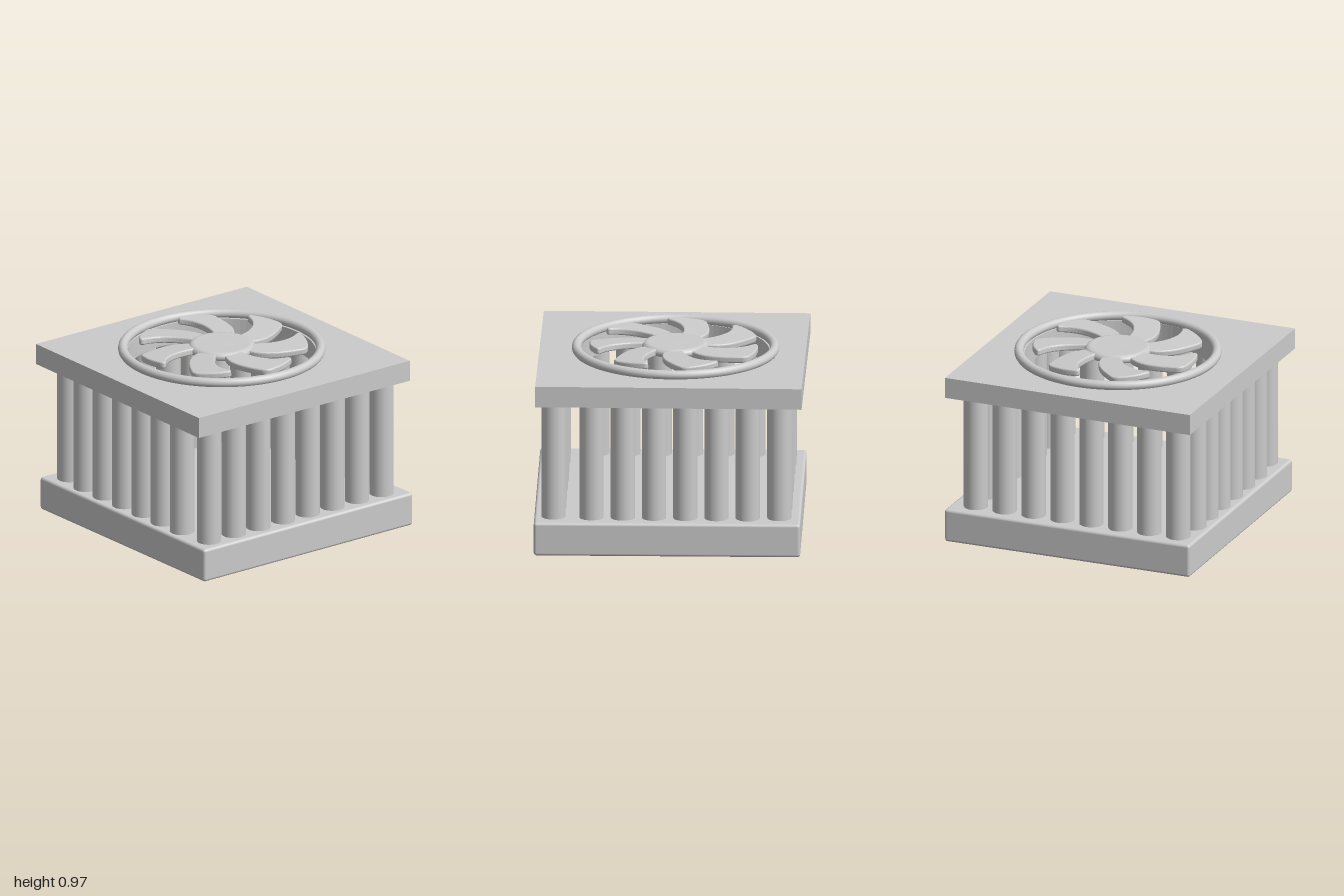
import * as THREE from 'three';
import { RoundedBoxGeometry } from 'three/addons/geometries/RoundedBoxGeometry.js';

const grey = new THREE.MeshStandardMaterial({ color: 0xcccccc });

function add(parent, geometry, name, x = 0, y = 0, z = 0) {
  const mesh = new THREE.Mesh(geometry, grey);
  mesh.name = name;
  mesh.position.set(x, y, z);
  parent.add(mesh);
  return mesh;
}

export function createModel() {
  const model = new THREE.Group();
  model.name = 'fanUnit';

  // Base slab with softened edges
  add(model, new RoundedBoxGeometry(1.396, 0.18, 1.4, 3, 0.015), 'base', 0.297, 0.09, 0.008);

  // Ring of columns around the perimeter, eight per side
  const columns = new THREE.Group();
  columns.name = 'columns';
  model.add(columns);
  const columnGeometry = new THREE.CylinderGeometry(0.064, 0.064, 0.65, 32);
  const column = (x, z) => add(columns, columnGeometry, 'column', x, 0.495, z);
  for (let i = 0; i < 8; i++) {
    const x = -0.29 + i * 0.1646;
    column(x, 0.607);
    column(x, -0.58);
    if (i > 0 && i < 7) {
      const z = 0.571 - i * 0.1642;
      column(-0.312, z);
      column(0.873, z);
    }
  }

  // Top plate with a round opening
  const square = new THREE.Shape();
  const h = 0.7;
  square.moveTo(-h, -h).lineTo(h, -h).lineTo(h, h).lineTo(-h, h).closePath();
  square.holes.push(new THREE.Path().absarc(0, 0.01, 0.497, 0, Math.PI * 2, true));
  const plateGeometry = new THREE.ExtrudeGeometry(square, { depth: 0.112, bevelEnabled: false, curveSegments: 48 });
  plateGeometry.rotateX(-Math.PI / 2);
  const plate = add(model, plateGeometry, 'topPlate', 0.283, 0.81, -0.005);
  plate.rotation.y = -0.008;

  // Fan: guard ring, hub and seven swept blades
  const fan = new THREE.Group();
  fan.name = 'fan';
  fan.position.set(0.288, 0, -0.02);
  model.add(fan);

  const ring = new THREE.TorusGeometry(0.52, 0.025, 16, 96);
  ring.rotateX(Math.PI / 2);
  add(fan, ring, 'guardRing', 0, 0.941, 0);

  const hubProfile = [
    [0, 0.925], [0.15, 0.925], [0.168, 0.932], [0.177, 0.945], [0.173, 0.96],
    [0.16, 0.97], [0.145, 0.973], [0.138, 0.97], [0, 0.972],
  ].map(([r, y]) => new THREE.Vector2(r, y));
  add(fan, new THREE.LatheGeometry(hubProfile, 64), 'hub');

  // Blade outline, drawn with its middle near 70 degrees
  const blade = new THREE.Shape();
  blade.moveTo(0.13, 0.09);
  blade.lineTo(0.065, 0.14);
  blade.bezierCurveTo(0.11, 0.23, 0.12, 0.34, 0.05, 0.415);
  blade.quadraticCurveTo(0.045, 0.428, 0.07, 0.428);
  blade.quadraticCurveTo(0.14, 0.428, 0.205, 0.395);
  blade.quadraticCurveTo(0.235, 0.38, 0.232, 0.35);
  blade.bezierCurveTo(0.228, 0.25, 0.215, 0.14, 0.13, 0.09);
  const bladeGeometry = new THREE.ExtrudeGeometry(blade, {
    depth: 0.016, bevelEnabled: true, bevelThickness: 0.01, bevelSize: 0.008,
    bevelSegments: 4, curveSegments: 14,
  });
  const middle = THREE.MathUtils.degToRad(70);
  bladeGeometry.rotateZ(-middle); // lay the blade along +x
  bladeGeometry.rotateX(0.07); // slight pitch
  bladeGeometry.rotateZ(middle);
  bladeGeometry.rotateX(-Math.PI / 2);
  for (let i = 0; i < 7; i++) {
    const mesh = add(fan, bladeGeometry, 'blade', 0, 0.942, 0);
    mesh.rotation.y = (i / 7) * Math.PI * 2;
  }

  return model;
}
